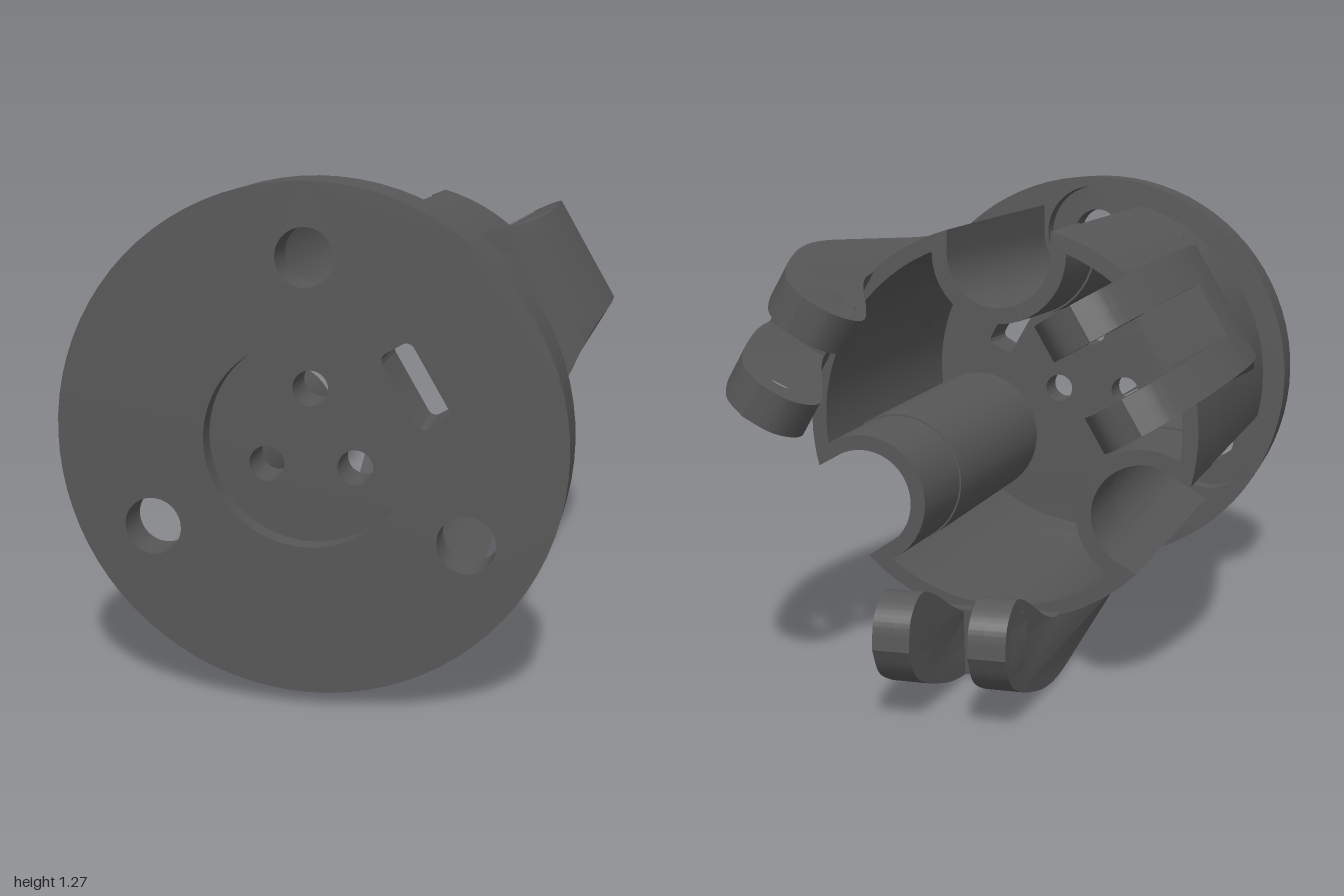
import * as THREE from 'three';
import { toCreasedNormals } from 'three/addons/utils/BufferGeometryUtils.js';

const material = new THREE.MeshStandardMaterial({ color: 0x575757 });
const THIRD = Math.PI * 2 / 3;
const BOLT_RADIUS = 0.44;   // distance of bolts and channels from the axis
const WALL = 0.04;
const BODY_START = 0.163, BODY_END = 1.195;
const FORK_START = 1.288;   // depth at which an arm splits into two prongs

function addMesh(parent, name, geometry) {
  const mesh = new THREE.Mesh(toCreasedNormals(geometry, 0.5), material);
  mesh.name = name;
  parent.add(mesh);
}

function circlePath(x, y, r) {
  return new THREE.Path().absarc(x, y, r, 0, Math.PI * 2, true);
}

// Three round holes, the first one at the top
function holeTriple(distance, r) {
  return [0, 1, 2].map(k => {
    const a = Math.PI / 2 + k * THIRD;
    return circlePath(Math.cos(a) * distance, Math.sin(a) * distance, r);
  });
}

// Slot with rounded corners, lying across the 30 degree direction
function slotPath() {
  const a = Math.PI / 6, c = Math.cos(a), s = Math.sin(a), r = 0.02;
  const path = new THREE.Path();
  [[1, 1], [-1, 1], [-1, -1], [1, -1]].forEach(([i, j], k) => {
    const u = 0.3 + i * 0.022, v = j * 0.08, start = a + k * Math.PI / 2;
    path.absarc(u * c - v * s, u * s + v * c, r, start, start + Math.PI / 2, false);
  });
  return path.closePath();
}

// One slice of the flange, from depth s0 to s1 behind the front face
function addFlangeLayer(parent, name, s0, s1, holes) {
  const disc = new THREE.Shape().absarc(0, 0, 0.615, 0, Math.PI * 2, false);
  disc.holes.push(...holes, slotPath());
  const g = new THREE.ExtrudeGeometry(disc, { depth: s1 - s0, bevelEnabled: false, curveSegments: 40 });
  addMesh(parent, name, g.translate(0, 0, -s1));
}

// Cross-section: a circle with three U-shaped channels pressed into it
function bodyContour(R, w) {
  const points = [];
  const lip = Math.sqrt(R * R - w * w), lipAngle = Math.asin(w / R);
  for (let k = 0; k < 3; k++) {
    const base = Math.PI / 2 + k * THIRD, c = Math.cos(base), s = Math.sin(base);
    const add = (a, b) => points.push([a * c - b * s, a * s + b * c]);
    add(lip, -w);
    for (let i = 0; i <= 20; i++) {
      const t = Math.PI * i / 20;
      add(BOLT_RADIUS - w * Math.sin(t), -w * Math.cos(t));
    }
    add(lip, w);
    for (let i = 1; i < 24; i++) {
      const t = lipAngle + (THIRD - 2 * lipAngle) * i / 24;
      add(R * Math.cos(t), R * Math.sin(t));
    }
  }
  return points;
}

// Thin shell: outer loops to the open end, then inner loops back to the flange
function bodyGeometry() {
  const sections = [ // [depth, radius, channel half width]
    [BODY_START, 0.548, 0.158], [0.92, 0.527, 0.147], [0.92, 0.527, 0.142], [BODY_END, 0.518, 0.137],
  ];
  const loops = [
    ...sections.map(([s, R, w]) => [s, bodyContour(R, w)]),
    ...sections.slice().reverse().map(([s, R, w]) => [s, bodyContour(R - WALL, w + WALL)]),
  ];
  const n = loops[0][1].length, position = [], index = [];
  for (const [s, loop] of loops) for (const [x, y] of loop) position.push(x, y, -s);
  for (let j = 0; j < loops.length - 1; j++) {
    for (let i = 0; i < n; i++) {
      const a = j * n + i, b = j * n + (i + 1) % n;
      index.push(a, a + n, b, b, a + n, b + n);
    }
  }
  const g = new THREE.BufferGeometry();
  g.setAttribute('position', new THREE.Float32BufferAttribute(position, 3));
  g.setIndex(index);
  return g;
}

// Side profile of an arm as [depth, distance from axis], optionally cut at the fork
function armShape(rootOnly) {
  const curve = list => new THREE.SplineCurve(list.map(p => new THREE.Vector2(...p))).getPoints(80);
  let outer = curve([[0.35, 0.487], [0.5, 0.525], [0.65, 0.558], [0.87, 0.613], [1.05, 0.642],
    [1.22, 0.65], [1.35, 0.636], [1.47, 0.604], [1.57, 0.568], [1.65, 0.522], [1.69, 0.455]]);
  let inner = curve([[1.69, 0.455], [1.68, 0.388], [1.64, 0.349], [1.585, 0.337], [1.5, 0.368],
    [1.36, 0.44], [1.27, 0.475], [1.19, 0.486]]).slice(1);
  if (rootOnly) {
    outer = outer.filter(p => p.x < FORK_START);
    inner = inner.filter(p => p.x < FORK_START);
  }
  // foot, buried in the body wall
  const foot = [1.05, 0.9, 0.75, 0.6, 0.45].map(s => new THREE.Vector2(s, 0.486 + (1.19 - s) * 0.012));
  return new THREE.Shape([...outer, ...inner, ...foot]);
}

function hexPath(x, y, r) {
  const pts = [];
  for (let i = 0; i < 6; i++) {
    const a = -i * Math.PI / 3;
    pts.push(new THREE.Vector2(x + r * Math.cos(a), y + r * Math.sin(a)));
  }
  return new THREE.Path(pts);
}

// One slice of an arm across its width, widened where it runs into the body
function armSlice(v0, v1, hole) {
  const shape = armShape(!hole);
  if (hole) shape.holes.push(hole);
  const g = new THREE.ExtrudeGeometry(shape, { depth: v1 - v0, bevelEnabled: false, curveSegments: 20 });
  g.translate(0, 0, v0);
  g.applyMatrix4(new THREE.Matrix4().makeBasis(
    new THREE.Vector3(0, 0, -1), new THREE.Vector3(0, -1, 0), new THREE.Vector3(-1, 0, 0)));
  const p = g.attributes.position, smooth = THREE.MathUtils.smoothstep;
  for (let i = 0; i < p.count; i++) {
    const s = -p.getZ(i), r = -p.getY(i);
    const flare = 1 - smooth(s, 0.4, 1);
    const fillet = (1 - smooth(r, 0.486, 0.62)) * (1 - smooth(s, 1, 1.3));
    p.setX(i, p.getX(i) * (1 + 0.25 * flare + 0.12 * fillet));
  }
  return g;
}

function createArm() {
  const arm = new THREE.Group();
  const s = 1.585, r = 0.443;
  addMesh(arm, 'armRoot', armSlice(-0.071, 0.071, null));
  addMesh(arm, 'nutPocket', armSlice(-0.163, -0.11, hexPath(s, r, 0.08)));
  addMesh(arm, 'nutProng', armSlice(-0.11, -0.071, circlePath(s, r, 0.043)));
  addMesh(arm, 'boltProng', armSlice(0.071, 0.11, circlePath(s, r, 0.043)));
  addMesh(arm, 'boltPocket', armSlice(0.11, 0.163, circlePath(s, r, 0.076)));
  return arm;
}

export function createModel() {
  const hub = new THREE.Group();
  hub.name = 'forkedArmHub';

  // Mounting flange: front recess, drilled web, counterbores at the back
  const flange = new THREE.Group();
  flange.name = 'flange';
  addFlangeLayer(flange, 'flangeFront', 0, 0.05, [circlePath(0, 0, 0.25), ...holeTriple(BOLT_RADIUS, 0.07)]);
  addFlangeLayer(flange, 'flangeWeb', 0.05, 0.1, [...holeTriple(0.125, 0.043), ...holeTriple(BOLT_RADIUS, 0.07)]);
  addFlangeLayer(flange, 'flangeBack', 0.1, BODY_START, [...holeTriple(0.125, 0.043), ...holeTriple(BOLT_RADIUS, 0.145)]);
  hub.add(flange);

  // Hollow body with three bolt channels
  addMesh(hub, 'body', bodyGeometry());

  // Three forked arms between the channels
  for (let k = 0; k < 3; k++) {
    const arm = createArm();
    arm.name = 'arm' + (k + 1);
    arm.rotation.z = k * THIRD;
    hub.add(arm);
  }

  // The axis lies level, turned to one side
  hub.rotation.y = -0.733;
  hub.position.set(-0.52, 0.65, 0.583);
  const model = new THREE.Group();
  model.add(hub);
  return model;
}
